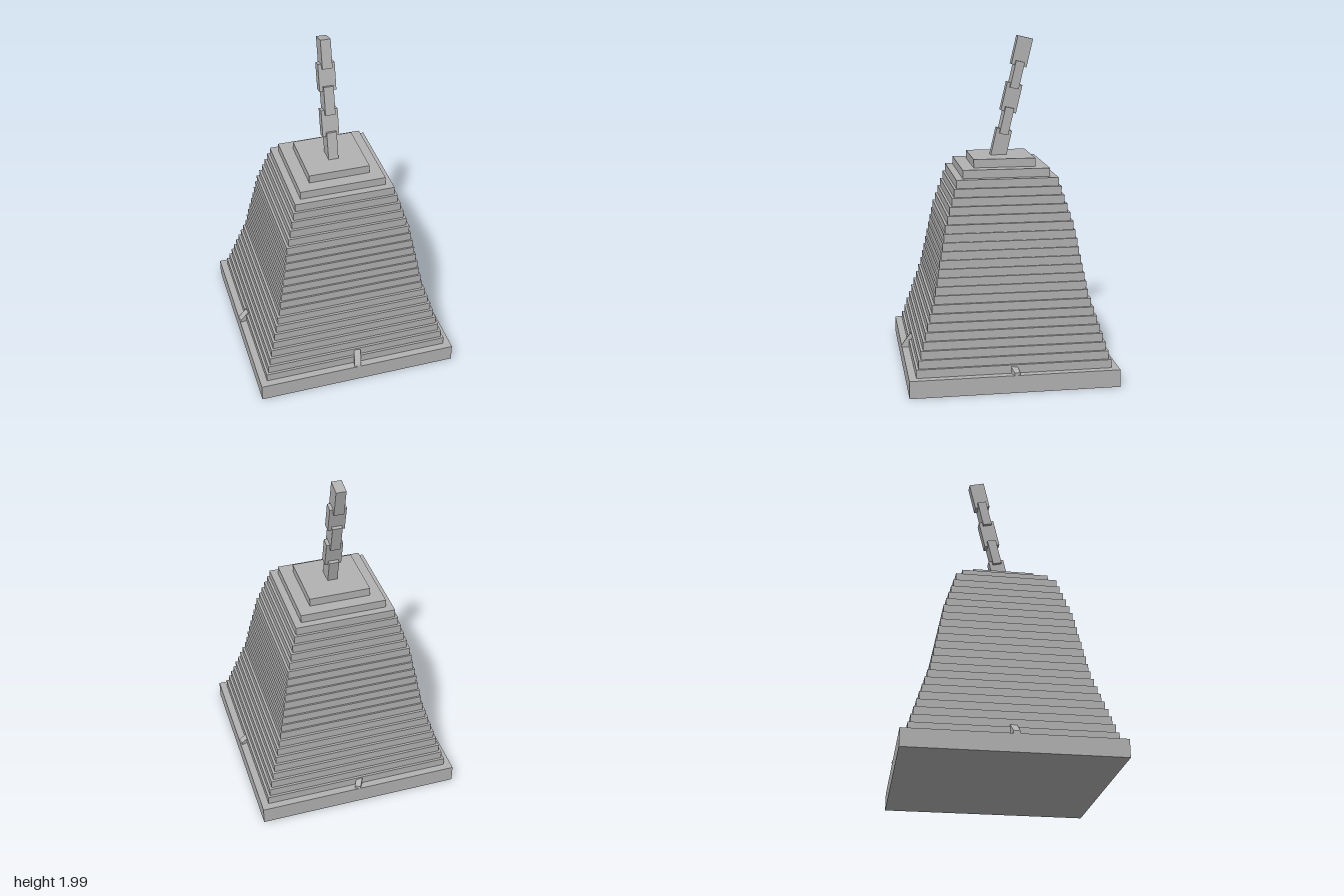
import * as THREE from 'three';

export function createModel() {
  const model = new THREE.Group();
  const stone = new THREE.MeshStandardMaterial({ color: 0xb2b2b2 });
  stone.name = 'stoneGrey';

  function add(name, geometry, x, y, z) {
    const mesh = new THREE.Mesh(geometry, stone);
    mesh.name = name;
    mesh.position.set(x, y, z);
    model.add(mesh);
    return mesh;
  }

  // Square plinth
  const baseTop = 0.104;
  add('base', new THREE.BoxGeometry(1.222, baseTop, 1.222), 0, baseTop / 2, 0);

  // Stepped body: bell-like taper made of 24 square slabs
  const tiers = 24;
  const step = (1.286 - baseTop) / tiers;
  function halfWidth(i) {
    if (i < 9) return 0.568 - 0.0148 * i;
    if (i < 16) return 0.4496 - 0.0093 * (i - 8);
    if (i < 22) return 0.375 - 0.015 * (i - 16);
    return i === 22 ? 0.257 : 0.183;
  }
  for (let i = 0; i < tiers; i++) {
    const w = 2 * halfWidth(i);
    add('tier' + (i + 1), new THREE.BoxGeometry(w, step, w), 0, baseTop + step * (i + 0.5), 0);
  }

  // Leaning chain: links alternate their broad side
  for (let i = 0; i < 5; i++) {
    const broad = i % 2 === 1;
    const size = broad ? [0.1, 0.163, 0.053] : [0.06, 0.172, 0.093];
    const link = add('chainLink' + (i + 1), new THREE.BoxGeometry(...size), 0, 1.354 + 0.1363 * i, -0.004 - 0.0313 * i);
    link.rotation.x = -0.23;
  }

  // Small slanted shards resting on the plinth, one per side
  function shard(name, x, z, yaw, height, width) {
    const profile = new THREE.Shape([
      new THREE.Vector2(0.027, 0),
      new THREE.Vector2(0.025, 0.015),
      new THREE.Vector2(-0.028, height),
      new THREE.Vector2(-0.06, height - 0.03),
      new THREE.Vector2(-0.06, 0),
    ]);
    const geometry = new THREE.ExtrudeGeometry(profile, { depth: width, bevelEnabled: false });
    geometry.translate(0, 0, -width / 2);
    geometry.rotateY(-Math.PI / 2); // profile x becomes outward z
    add(name, geometry, x, baseTop, z).rotation.y = yaw;
  }
  shard('frontShard', 0, 0.582, -0.25, 0.09, 0.04);
  shard('rightShard', -0.585, 0, -Math.PI / 2 + 0.16, 0.065, 0.04);
  shard('leftShard', 0.582, 0, Math.PI / 2 + 0.28, 0.045, 0.036);
  shard('backShard', 0, -0.582, Math.PI - 0.5, 0.045, 0.036);

  return model;
}
